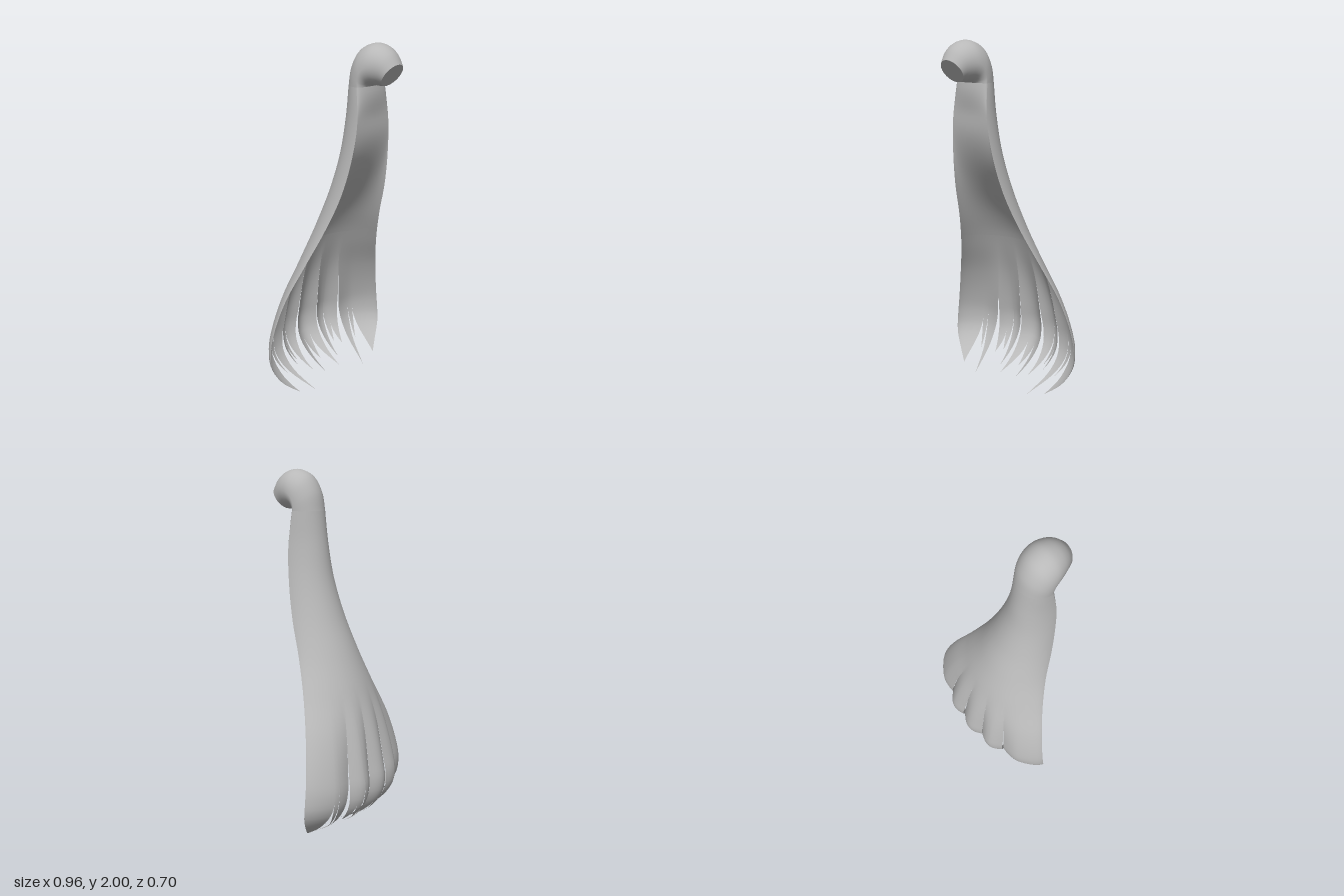
import * as THREE from 'three';
import { mergeVertices, mergeGeometries } from 'three/addons/utils/BufferGeometryUtils.js';

const { lerp, smoothstep, clamp } = THREE.MathUtils;

// Surface from a rule point(u, v), with u across and v downwards
function grid(nu, nv, point) {
  const pos = [], index = [];
  for (let j = 0; j <= nv; j++)
    for (let i = 0; i <= nu; i++) pos.push(...point(i / nu, j / nv, j));
  for (let j = 0; j < nv; j++)
    for (let i = 0; i < nu; i++) {
      const a = j * (nu + 1) + i, b = a + 1, c = a + nu + 1, d = c + 1;
      index.push(a, b, c, b, d, c);
    }
  const g = new THREE.BufferGeometry();
  g.setAttribute('position', new THREE.Float32BufferAttribute(pos, 3));
  g.setIndex(index);
  return g;
}

function smooth(g) {
  const m = mergeVertices(g, 1e-5);
  m.computeVertexNormals();
  return m;
}

// Cross-sections of the shell by height: half width, side z, back z
const heights = [0, 0.1, 0.2, 0.3, 0.4, 0.6, 0.8, 1.0, 1.2, 1.4, 1.6, 1.78];
const sections = [
  0.32, 0, -0.08, 0.42, -0.095, -0.245, 0.473, -0.135, -0.33, 0.477, -0.145, -0.352,
  0.46, -0.14, -0.338, 0.4, -0.1, -0.29, 0.315, -0.03, -0.22, 0.24, 0.05, -0.14,
  0.19, 0.125, -0.06, 0.155, 0.17, 0, 0.13, 0.188, 0.033, 0.115, 0.168, 0.055,
];
const profile = new THREE.CubicInterpolant(heights, sections, 3);

// Large lobes between the long slits, as angles from the middle of the back
const lobes = [[-0.18, 0.18], [0.18, 0.55], [0.55, 2.6]];

// Back of the shell; wall blends it towards the straight line between its sides
function shellPoint(t, y, wall = 1) {
  const [w, zSide, zBack] = profile.evaluate(y);
  const s = Math.abs(t);
  const [a, b] = lobes.find((l) => s <= l[1] + 1e-9) || lobes[2];
  const k = b > 2 ? Math.min((s - a) / 0.7, 0.5) : (s - a) / (b - a);
  const dent = (1 - Math.sin(Math.PI * clamp(k, 0, 1))) * (1 - smoothstep(y, 0.3, 0.85));
  const bow = Math.max(0, Math.cos(t)) ** (1.4 - 0.4 * smoothstep(y, 0.7, 1.3));
  return [
    w * Math.sin(t) * (1 - 0.02 * dent), y,
    zSide + wall * ((zBack - zSide) * bow + 0.036 * dent),
  ];
}

// Locks: edge angles, slit tops at both edges, tip angle, tip height
const halfLocks = [
  [0.06, 0.18, 0.19, 0.82, 0.17, 0.035],
  [0.18, 0.36, 0.82, 0.35, 0.31, 0.05],
  [0.36, 0.44, 0.35, 0.21, 0.4, 0.11],
  [0.44, 0.55, 0.21, 0.73, 0.5, 0.1],
  [0.55, 0.77, 0.73, 0.35, 0.74, 0],
  [0.77, 0.86, 0.35, 0.28, 0.82, 0.1],
  [0.86, Math.PI / 2, 0.28, 0.24, 1.2, 0.035],
];
const locks = [[-0.06, 0.06, 0.19, 0.19, 0, 0.07]];
for (const [a, b, ya, yb, t, y] of halfLocks)
  locks.push([a, b, ya, yb, t, y], [-b, -a, yb, ya, -t, y]);

// Edge of a lock, drawn in towards the tip below its slit top
function edge(t, top, tip, tipY, y) {
  const k = clamp((top - y) / (top - tipY), 0, 1);
  return lerp(t, tip, k ** (2 + 4 * Math.max(0, top - 0.2)));
}

function lockGeometry([a, b, ya, yb, tip, tipY]) {
  const upper = 56, lower = 10, shared = 0.19;
  const columns = Math.max(4, Math.ceil((b - a) / 0.045));
  return grid(columns, upper + lower, (u, v, j) => {
    const y = j <= upper ? lerp(1.78, shared, j / upper) : lerp(shared, tipY, (j - upper) / lower);
    const t = lerp(edge(a, ya, tip, tipY, y), edge(b, yb, tip, tipY, y), u);
    return shellPoint(t, y);
  });
}

// Front wall: bulging under the hook, flat below it, then sinking into the back
function wallPoint(u, v) {
  const y = lerp(1.78, 0.86, v);
  const depth = 1 - smoothstep(y, 0.86, 1.55) - 0.257 * smoothstep(y, 1.6, 1.78);
  return shellPoint((0.5 - u) * Math.PI, y, depth);
}

// Hooked root: outer and inner side profiles as (z, y); half widths with inner shares
const curve = (pts) => new THREE.SplineCurve(pts.map((p) => new THREE.Vector2(...p)));
const outer = curve([[0.35, 1.9], [0.315, 1.955], [0.265, 1.99], [0.2, 2], [0.125, 1.965], [0.075, 1.88], [0.055, 1.78]]);
const inner = curve([[0.27, 1.785], [0.255, 1.784], [0.24, 1.784], [0.225, 1.785], [0.212, 1.785], [0.202, 1.783], [0.197, 1.78]]);
const girth = curve([[0.075, 0.5], [0.09, 0.5], [0.104, 0.48], [0.114, 0.44], [0.117, 0.36], [0.116, 0.27], [0.115, 0.204]]);

function hookPoint(u, v) {
  const o = outer.getPoint(v), i = inner.getPoint(v), g = girth.getPoint(v);
  const phi = u * Math.PI * 2, c = Math.cos(phi);
  const share = g.y + c * (c > 0 ? 1 - g.y : g.y);
  return [g.x * Math.sin(phi), lerp(i.y, o.y, share), lerp(i.x, o.x, share)];
}

export function createModel() {
  const group = new THREE.Group();
  const hair = new THREE.MeshStandardMaterial({ color: 0xb8b8b8, side: THREE.DoubleSide });
  hair.name = 'hairGrey';
  const add = (name, geometry) => {
    const mesh = new THREE.Mesh(smooth(geometry), hair);
    mesh.name = name;
    group.add(mesh);
  };

  // Flowing shell, split into pointed locks at the bottom
  add('tailLocks', mergeGeometries(locks.map(lockGeometry)));

  // Front of the upper tail
  add('tailFront', grid(32, 36, wallPoint));

  // Rounded hook at the top and the flat cut at its end
  add('hookedRoot', grid(40, 30, hookPoint));
  const centre = [0, (1.9 + 1.785) / 2, (0.35 + 0.27) / 2];
  add('rootEnd', grid(40, 1, (u, v) => (v === 0 ? centre : hookPoint(u, 0))));

  return group;
}
